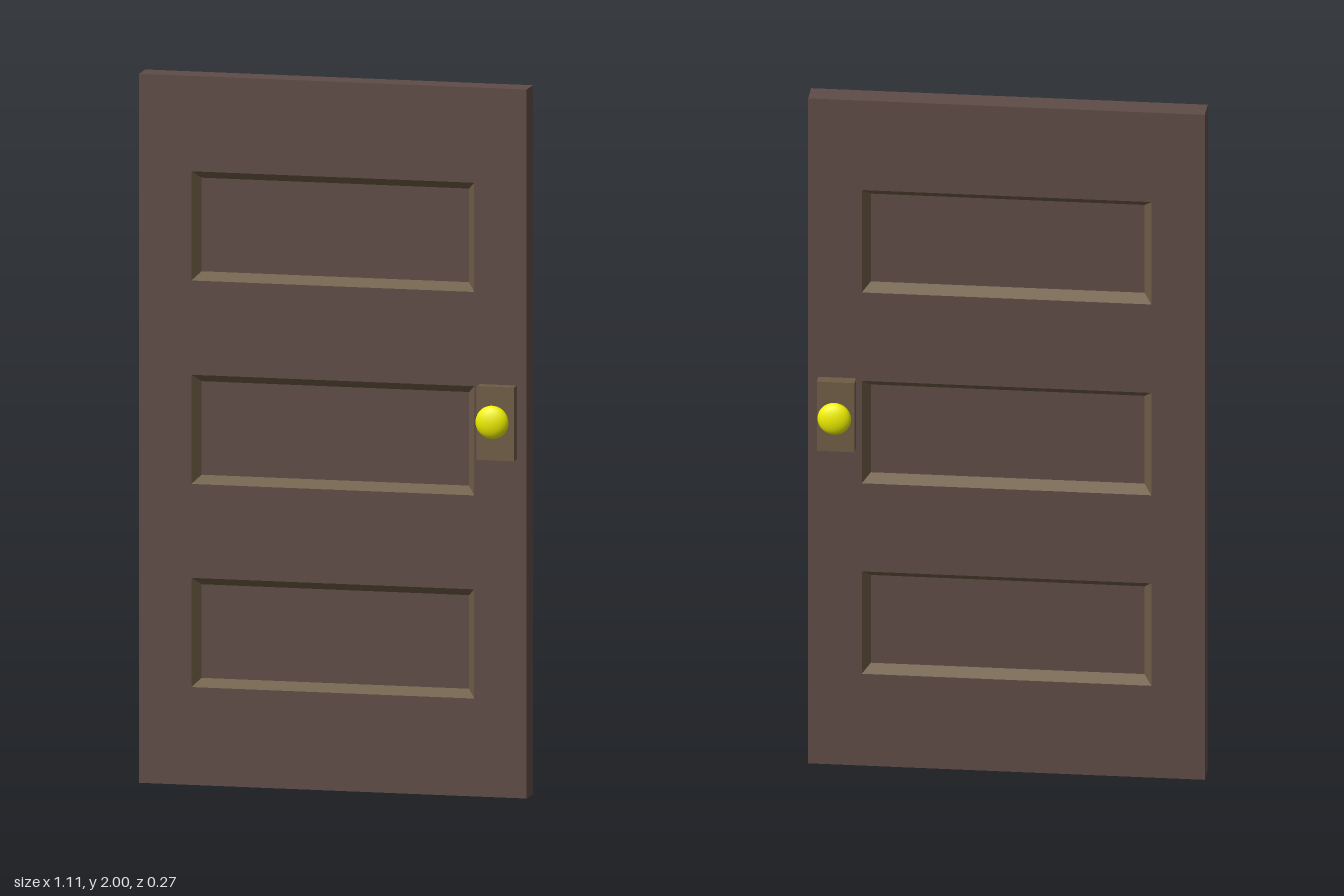
import * as THREE from 'three';

const W = 1.11, H = 2, FRONT = 0.035, BACK = 0.04; // door size, front and back face distance
const PANEL_W = 0.81, PANEL_H = 0.308, BEVEL = 0.022, DEPTH = 0.03;
const PANEL_Y = [0.43, 1.003, 1.577];

const wood = new THREE.MeshStandardMaterial({ color: 0x5e4c46 });
const trim = new THREE.MeshStandardMaterial({ color: 0x6e5d45 });
const brass = new THREE.MeshStandardMaterial({ color: 0xf0f000 });

function add(parent, name, geometry, material, x = 0, y = 0, z = 0) {
  const mesh = new THREE.Mesh(geometry, material);
  mesh.name = name;
  mesh.position.set(x, y, z);
  parent.add(mesh);
  return mesh;
}

// Corners of a rectangle, counter-clockwise
function corners(w, h, z) {
  return [[-1, -1], [1, -1], [1, 1], [-1, 1]].map(([a, b]) => [a * w / 2, b * h / 2, z]);
}

// Four sloped strips running from the door face down to the sunken panel
function bevelGeometry() {
  const outer = corners(PANEL_W, PANEL_H, 0);
  const inner = corners(PANEL_W - 2 * BEVEL, PANEL_H - 2 * BEVEL, -DEPTH);
  const pos = [];
  for (let i = 0; i < 4; i++) {
    const j = (i + 1) % 4;
    pos.push(...outer[i], ...outer[j], ...inner[j], ...outer[i], ...inner[j], ...inner[i]);
  }
  const g = new THREE.BufferGeometry();
  g.setAttribute('position', new THREE.Float32BufferAttribute(pos, 3));
  g.computeVertexNormals();
  return g;
}

// Door face with three rectangular openings
function faceGeometry() {
  const shape = new THREE.Shape([
    new THREE.Vector2(-W / 2, 0), new THREE.Vector2(W / 2, 0),
    new THREE.Vector2(W / 2, H), new THREE.Vector2(-W / 2, H),
  ]);
  for (const y of PANEL_Y) {
    const pts = corners(PANEL_W, PANEL_H, 0).map((c) => new THREE.Vector2(c[0], c[1] + y));
    shape.holes.push(new THREE.Path(pts.reverse()));
  }
  return new THREE.ShapeGeometry(shape);
}

// One side of the door, facing +z, with panels and handle
function makeSide(name, handleX) {
  const side = new THREE.Group();
  side.name = name;
  add(side, 'doorFace', faceGeometry(), wood);
  for (const y of PANEL_Y) {
    add(side, 'panelBevel', bevelGeometry(), trim, 0, y);
    add(side, 'sunkenPanel', new THREE.PlaneGeometry(PANEL_W - 2 * BEVEL, PANEL_H - 2 * BEVEL), wood, 0, y, -DEPTH);
  }
  const handle = new THREE.Group();
  handle.name = 'handle';
  handle.position.set(handleX, 1.07, 0);
  add(handle, 'lockPlate', new THREE.BoxGeometry(0.106, 0.208, 0.036), trim, 0, -0.01, 0.018);
  add(handle, 'knobStem', new THREE.CylinderGeometry(0.018, 0.018, 0.04, 24), brass, 0, 0, 0.05).rotation.x = Math.PI / 2;
  add(handle, 'knob', new THREE.SphereGeometry(0.047, 32, 20), brass, 0, 0, 0.074).scale.z = 0.53;
  side.add(handle);
  return side;
}

export function createModel() {
  const door = new THREE.Group();
  door.name = 'door';

  const front = makeSide('frontSide', 0.474);
  front.position.z = FRONT;
  const back = makeSide('backSide', -0.474);
  back.position.z = -BACK;
  back.rotation.y = Math.PI;
  door.add(front, back);

  // Narrow edges closing the slab
  const t = FRONT + BACK, mid = (FRONT - BACK) / 2;
  for (const s of [-1, 1]) {
    add(door, s > 0 ? 'leftEdge' : 'rightEdge', new THREE.PlaneGeometry(t, H), wood, s * W / 2, H / 2, mid).rotation.y = s * Math.PI / 2;
    add(door, s > 0 ? 'topEdge' : 'bottomEdge', new THREE.PlaneGeometry(W, t), wood, 0, s > 0 ? H : 0, mid).rotation.x = -s * Math.PI / 2;
  }
  return door;
}
